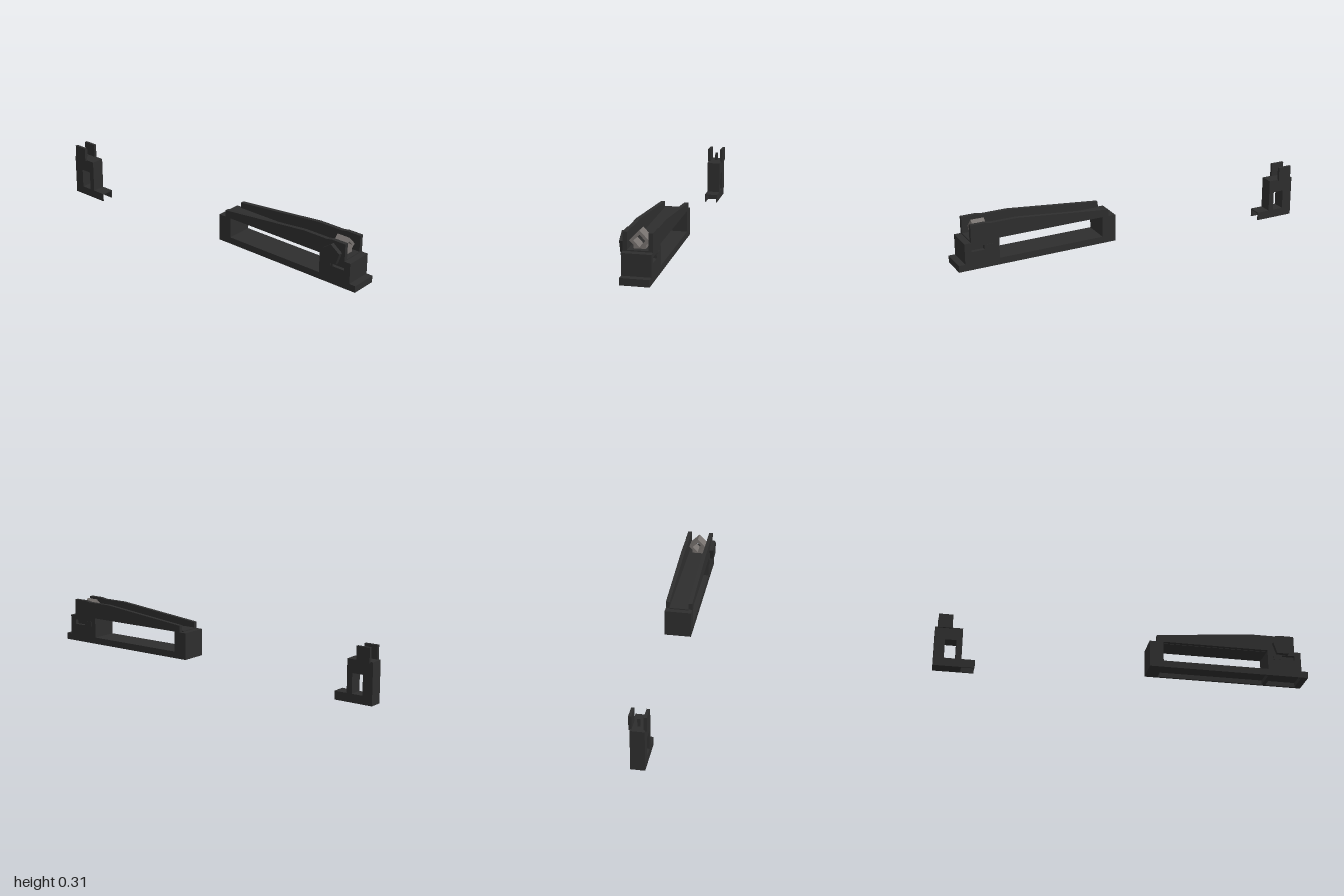
import * as THREE from 'three';

const black = new THREE.MeshStandardMaterial({ color: 0x2e2e2e });
black.name = 'black metal';
const grey = new THREE.MeshStandardMaterial({ color: 0x77726f });
grey.name = 'grey metal';

function mesh(name, geometry, material = black) {
  const m = new THREE.Mesh(geometry, material);
  m.name = name;
  return m;
}

// Box given by its limits on each axis
function box(name, x0, x1, y0, y1, z0, z1, material) {
  const g = new THREE.BoxGeometry(x1 - x0, y1 - y0, z1 - z0);
  g.translate((x0 + x1) / 2, (y0 + y1) / 2, (z0 + z1) / 2);
  return mesh(name, g, material);
}

const toPoints = (list) => list.map(([a, b]) => new THREE.Vector2(a, b));
const rect = (a0, a1, b0, b1) => [[a0, b0], [a1, b0], [a1, b1], [a0, b1]];

function makeShape(outline, holes = []) {
  const s = new THREE.Shape(toPoints(outline));
  s.holes = holes.map((h) => new THREE.Path(toPoints(h)));
  return s;
}

// Side profile of [z, y] points, extruded from x0 to x1
function sideProfile(name, outline, x0, x1, holes) {
  const g = new THREE.ExtrudeGeometry(makeShape(outline, holes), { depth: x1 - x0, bevelEnabled: false });
  g.rotateY(-Math.PI / 2);
  g.translate(x1, 0, 0);
  return mesh(name, g);
}

function createRearSight() {
  const group = new THREE.Group();
  group.name = 'rearSight';
  const L = -0.063, R = 0.082, bottom = 0.075, floor = 0.111, top = 0.221;

  // Base: a tray, hollow from below
  group.add(box('baseFloor', L, R, 0.1, floor, 0.13, 1));
  const frame = new THREE.ExtrudeGeometry(
    makeShape(rect(L, R, -1, -0.13), [
      rect(L + 0.012, R - 0.012, -0.78, -0.2),
      rect(L + 0.012, R - 0.012, -0.965, -0.8),
    ]),
    { depth: 0.1 - bottom, bevelEnabled: false });
  frame.rotateX(-Math.PI / 2);
  frame.translate(0, bottom, 0);
  group.add(mesh('baseFrame', frame));

  // End blocks, the front one with a slot in each side
  group.add(box('rearBlock', L, R, floor, top, 0.13, 0.205));
  for (const [x0, x1] of [[L, L + 0.02], [R - 0.02, R]]) {
    group.add(sideProfile('slottedSide', rect(0.78, 0.965, floor, top), x0, x1,
      [rect(0.86, 0.93, 0.172, 0.198)]));
  }
  group.add(box('frontBlock', L + 0.02, R - 0.02, floor, top, 0.78, 0.965));
  group.add(box('crossPin', L - 0.002, R + 0.002, 0.17, 0.198, 0.81, 0.85));

  // Top plate and the sloping guard walls
  group.add(box('topPlate', -0.043, 0.061, 0.219, 0.227, 0.16, 0.93));
  const wall = [[0.17, top], [0.93, top], [0.93, 0.314], [0.85, 0.314],
    [0.82, 0.308], [0.68, 0.308], [0.17, 0.257]];
  group.add(sideProfile('rightGuardWall', wall, L, -0.042));
  group.add(sideProfile('leftGuardWall', wall, 0.061, R));

  // Diamond aperture on its foot
  const cx = 0.01, cy = 0.264, r = 0.05, h = 0.03;
  const diamond = makeShape(
    [[cx - 0.03, 0.226], [cx + 0.03, 0.226], [cx + 0.03, cy - 0.02], [cx + r, cy],
      [cx, cy + r], [cx - r, cy], [cx - 0.03, cy - 0.02]],
    [[[cx, cy - h], [cx + h, cy], [cx, cy + h], [cx - h, cy]]]);
  const aperture = new THREE.ExtrudeGeometry(diamond, { depth: 0.07, bevelEnabled: false });
  aperture.translate(0, 0, 0.83);
  group.add(mesh('diamondAperture', aperture, grey));

  // Five-sided adjustment knob, point up
  const knob = [];
  for (let i = 0; i < 5; i++) {
    const a = Math.PI / 2 + (i * Math.PI * 2) / 5;
    knob.push([0.86 + 0.0553 * Math.cos(a), 0.2447 + 0.0553 * Math.sin(a)]);
  }
  group.add(sideProfile('adjustmentKnob', knob, -0.085, L));
  return group;
}

function createFrontSight() {
  const group = new THREE.Group();
  group.name = 'frontSight';
  const L = -0.027, R = 0.045;

  // Upright body with a window through its sides
  group.add(sideProfile('post body', rect(-1, -0.855, 0, 0.22), L, R,
    [rect(-0.945, -0.885, 0.045, 0.15)]));

  // Foot: an open channel
  group.add(box('footTop', L, R, 0.038, 0.045, -0.855, -0.785));
  group.add(box('footRightLeg', L, L + 0.006, 0, 0.038, -0.855, -0.785));
  group.add(box('footLeftLeg', R - 0.006, R, 0, 0.038, -0.855, -0.785));

  // Guard ears and aiming post
  group.add(box('rightEar', -0.035, -0.02, 0.215, 0.292, -0.985, -0.91));
  group.add(box('leftEar', 0.038, 0.053, 0.215, 0.292, -0.985, -0.91));
  group.add(box('aimingPost', 0.002, 0.016, 0.22, 0.262, -0.957, -0.943));
  return group;
}

export function createModel() {
  const model = new THREE.Group();
  model.name = 'ironSights';
  model.add(createRearSight(), createFrontSight());
  return model;
}
